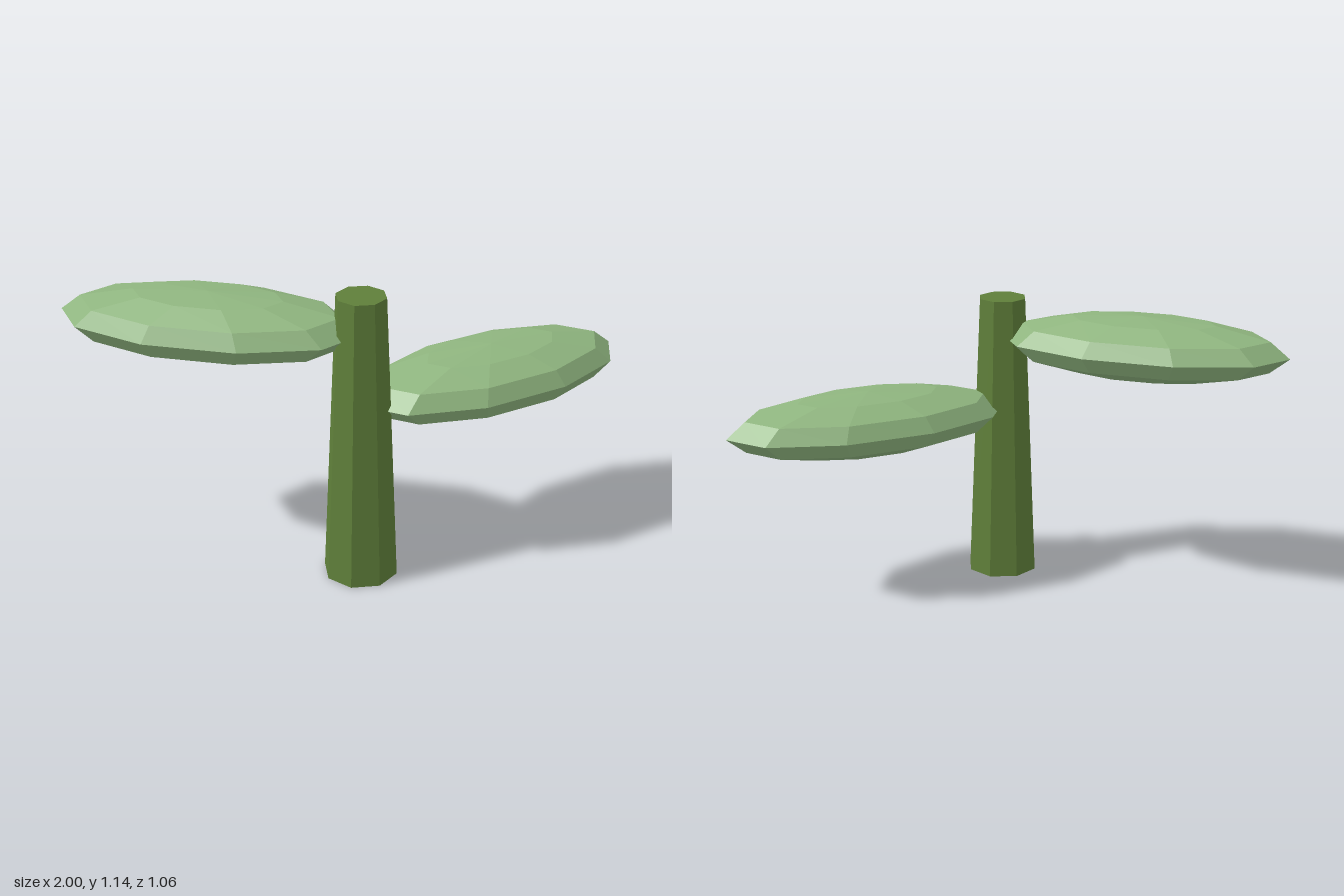
import * as THREE from 'three';

const STEM_X = -0.142, STEM_Z = 0.282, HEIGHT = 1.14;
const LEAF = { length: 0.571, thickness: 0.122, width: 0.258 }; // half sizes

export function createModel() {
  const model = new THREE.Group();
  model.name = 'sprout';

  const stemGreen = new THREE.MeshStandardMaterial({ color: 0x5f7f3a, flatShading: true });
  stemGreen.name = 'stem green';
  const leafGreen = new THREE.MeshStandardMaterial({ color: 0x8fb57f, flatShading: true });
  leafGreen.name = 'leaf green';

  // Tapered eight-sided stem
  const stem = new THREE.Mesh(new THREE.CylinderGeometry(0.095, 0.143, HEIGHT, 8), stemGreen);
  stem.name = 'stem';
  stem.position.set(STEM_X, HEIGHT / 2, STEM_Z);
  model.add(stem);

  // Flattened leaf blade, with its inner tip on the stem axis
  const blade = new THREE.SphereGeometry(1, 10, 6);
  blade.scale(LEAF.length, LEAF.thickness, LEAF.width);
  blade.translate(LEAF.length, 0, 0);

  const addLeaf = (name, y, degrees) => {
    const leaf = new THREE.Mesh(blade, leafGreen);
    leaf.name = name;
    leaf.position.set(STEM_X, y, STEM_Z);
    leaf.rotation.y = THREE.MathUtils.degToRad(degrees);
    model.add(leaf);
  };
  addLeaf('lowerLeaf', 0.7, 0);
  addLeaf('upperLeaf', 0.985, 137.3);

  return model;
}
